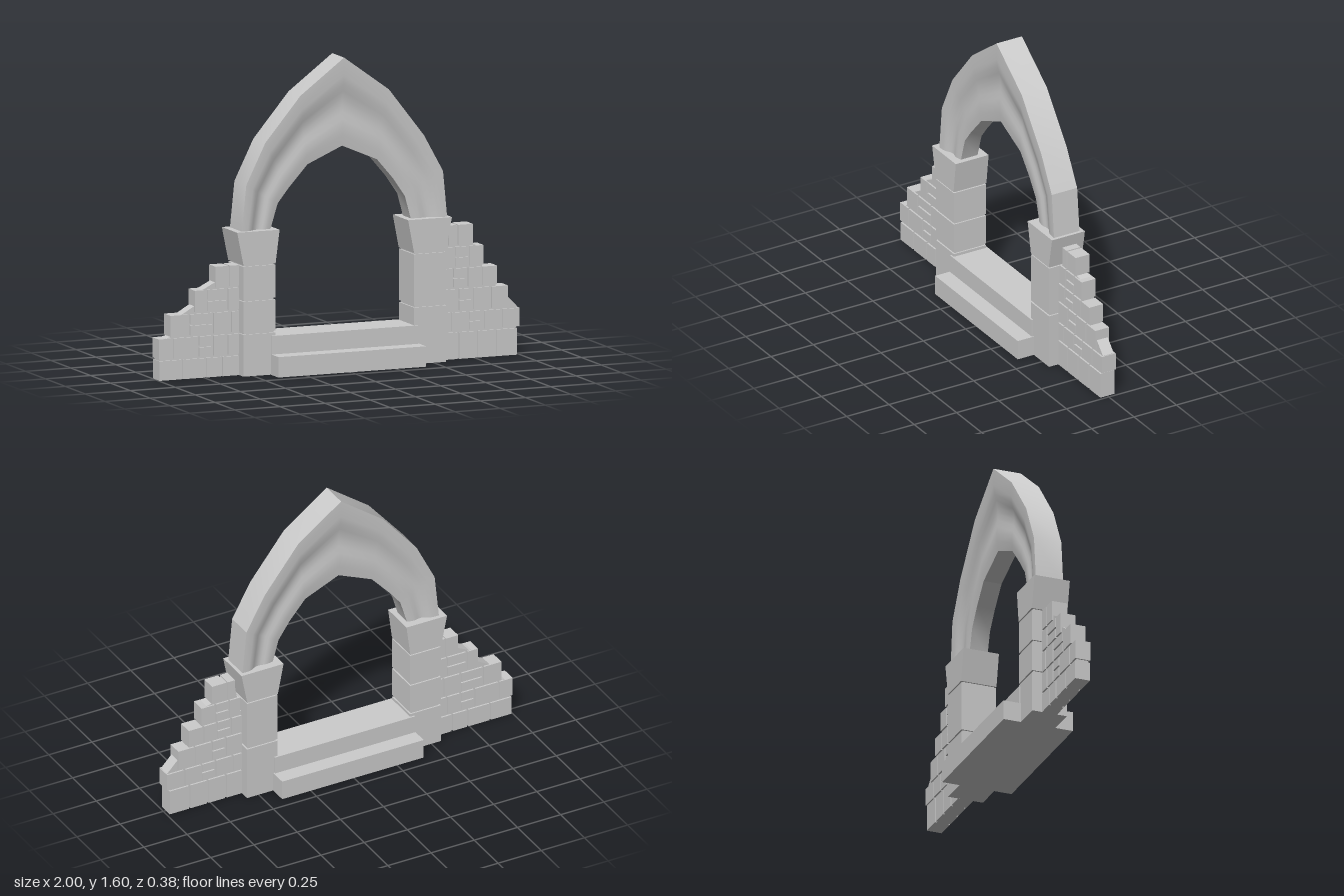
import * as THREE from 'three';
import { toCreasedNormals } from 'three/addons/utils/BufferGeometryUtils.js';

const stone = new THREE.MeshStandardMaterial({ color: 0xcccccc });

function add(parent, name, geometry) {
  const mesh = new THREE.Mesh(geometry, stone);
  mesh.name = name;
  parent.add(mesh);
  return mesh;
}

// Box given by its limits, centred on z = 0
function block(parent, name, x0, x1, y0, y1, halfZ) {
  const mesh = add(parent, name, new THREE.BoxGeometry(x1 - x0, y1 - y0, halfZ * 2));
  mesh.position.set((x0 + x1) / 2, (y0 + y1) / 2, 0);
}

// Outline in x and y, extruded equally to front and back
function slab(parent, name, points, halfZ) {
  const shape = new THREE.Shape(points.map(([x, y]) => new THREE.Vector2(x, y)));
  const geometry = new THREE.ExtrudeGeometry(shape, { depth: halfZ * 2, bevelEnabled: false });
  add(parent, name, geometry.translate(0, 0, -halfZ));
}

// Pillar of stacked blocks with thin recessed joints and a flared capital
function pillar(name, x0, x1, joints, cap) {
  const group = new THREE.Group();
  group.name = name;
  block(group, 'pillarCore', x0 + 0.008, x1 - 0.008, 0, 0.6, 0.087);
  for (let i = 0; i < joints.length - 1; i++) {
    block(group, 'pillarBlock', x0, x1, joints[i] + (i ? 0.005 : 0), joints[i + 1] - 0.005, 0.095);
  }
  slab(group, 'capital', [[x0, 0.572], [x1, 0.572], [cap[1], 0.743], [cap[0], 0.743]], 0.097);
  return group;
}

// Moulded pointed arch: the same stone section swept between outer and inner edge points
function archGeometry() {
  const outer = [[-0.555, 0.74], [-0.53, 0.98], [-0.425, 1.19], [-0.23, 1.42], [0.012, 1.6],
    [0.26, 1.42], [0.455, 1.17], [0.56, 0.98], [0.583, 0.74]];
  const inner = [[-0.385, 0.74], [-0.345, 0.87], [-0.285, 0.945], [-0.18, 1.06], [0.012, 1.143],
    [0.205, 1.06], [0.295, 0.955], [0.36, 0.86], [0.393, 0.74]];
  // Distance from outer to inner edge, half thickness
  const half = [[0, 0.075], [0.2, 0.074], [0.3, 0.069], [0.38, 0.06], [0.46, 0.053], [0.54, 0.05],
    [0.62, 0.051], [0.7, 0.055], [0.78, 0.057], [0.88, 0.055], [1, 0.049]];
  const section = [...half, ...half.map(([t, z]) => [t, -z]).reverse()];
  const n = section.length;
  const positions = [];
  const index = [];
  outer.forEach(([ox, oy], i) => {
    const [ix, iy] = inner[i];
    for (const [t, z] of section) positions.push(ox + (ix - ox) * t, oy + (iy - oy) * t, z);
  });
  for (let i = 0; i < outer.length - 1; i++) {
    for (let j = 0; j < n; j++) {
      const a = i * n + j;
      const b = i * n + (j + 1) % n;
      index.push(a, b, a + n, b, b + n, a + n);
    }
  }
  const geometry = new THREE.BufferGeometry();
  geometry.setAttribute('position', new THREE.Float32BufferAttribute(positions, 3));
  geometry.setIndex(index);
  return toCreasedNormals(geometry, 0.4);
}

// Ruined wall: a thin core with courses of bricks standing proud of it
// Each course: bottom, top, brick edges, indices of bricks split into two thin ones
function wall(name, outline, courses) {
  const group = new THREE.Group();
  group.name = name;
  slab(group, 'wallCore', outline, 0.032);
  const gap = 0.005;
  for (const [y0, y1, edges, split] of courses) {
    for (let i = 0; i < edges.length - 1; i++) {
      const x0 = edges[i] + (i ? gap : 0);
      const x1 = edges[i + 1] - (i < edges.length - 2 ? gap : 0);
      const mid = (y0 + y1) / 2;
      const parts = split.includes(i) ? [[y0, mid - gap], [mid + gap, y1]] : [[y0, y1]];
      for (const [b, t] of parts) block(group, 'brick', x0, x1, b, t, 0.041);
    }
  }
  return group;
}

export function createModel() {
  const model = new THREE.Group();
  model.name = 'ruinedArchway';

  // Threshold and the lower step on both sides
  block(model, 'threshold', -0.4, 0.41, 0, 0.2, 0.104);
  block(model, 'step', -0.403, 0.416, 0, 0.105, 0.19);

  model.add(pillar('rightPillar', -0.555, -0.377, [0, 0.22, 0.39, 0.57], [-0.59, -0.355]));
  model.add(pillar('leftPillar', 0.39, 0.567, [0, 0.296, 0.57], [0.357, 0.6]));

  add(model, 'arch', archGeometry());

  model.add(wall('rightWall',
    [[-0.55, 0], [-0.55, 0.56], [-0.68, 0.56], [-0.685, 0.485], [-0.75, 0.452], [-0.795, 0.445],
      [-0.8, 0.37], [-0.87, 0.33], [-0.93, 0.325], [-0.93, 0.22], [-0.992, 0.205], [-0.992, 0]],
    [
      [0, 0.1, [-0.995, -0.87, -0.74, -0.65, -0.556], []],
      [0.11, 0.213, [-1, -0.92, -0.78, -0.7, -0.62, -0.556], [2]],
      [0.223, 0.33, [-0.935, -0.83, -0.7, -0.6, -0.556], [1]],
      [0.34, 0.45, [-0.8, -0.735, -0.62, -0.556], [1]],
      [0.46, 0.566, [-0.685, -0.61, -0.556], []],
    ]));

  model.add(wall('leftWall',
    [[0.56, 0], [0.98, 0], [0.98, 0.14], [0.995, 0.15], [0.995, 0.242], [0.935, 0.305], [0.93, 0.355],
      [0.87, 0.36], [0.87, 0.46], [0.795, 0.465], [0.795, 0.57], [0.735, 0.585], [0.735, 0.685],
      [0.61, 0.685], [0.575, 0.49], [0.56, 0.49]],
    [
      [0, 0.137, [0.568, 0.66, 0.765, 0.87, 0.985], []],
      [0.147, 0.24, [0.568, 0.62, 0.72, 0.8, 0.9, 1], [2]],
      [0.25, 0.36, [0.568, 0.66, 0.74, 0.84, 0.935], [1]],
      [0.37, 0.466, [0.568, 0.63, 0.71, 0.79, 0.875], [1]],
      [0.476, 0.577, [0.578, 0.64, 0.72, 0.8], [1]],
      [0.587, 0.69, [0.607, 0.655, 0.74], []],
    ]));

  return model;
}
